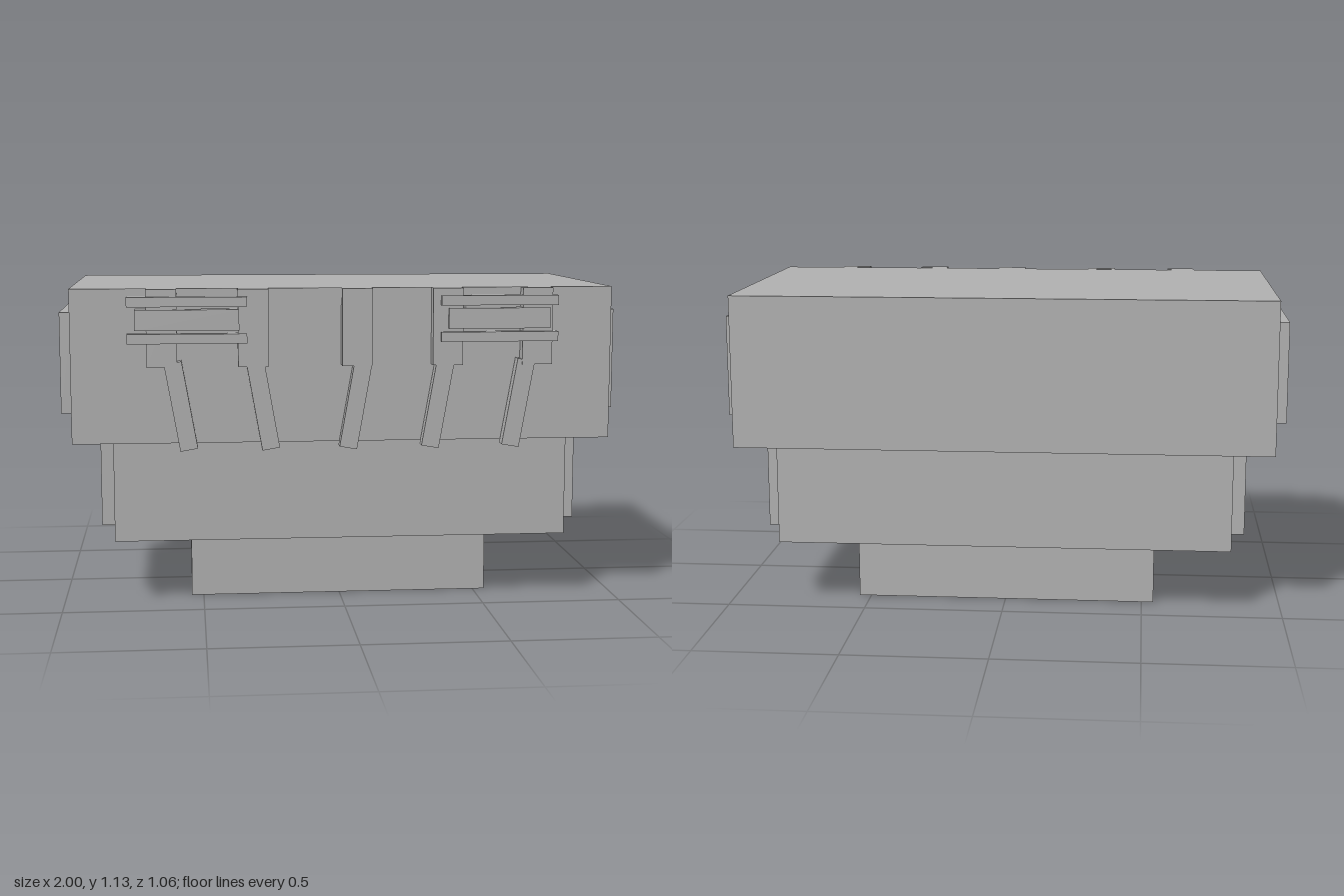
import * as THREE from 'three';

export function createModel() {
  const model = new THREE.Group();
  const grey = new THREE.MeshStandardMaterial({ color: 0xb2b2b2 });
  grey.name = 'plain grey';

  // Box given by its extents along each axis
  function block(name, [x0, x1], [y0, y1], [z0, z1]) {
    const mesh = new THREE.Mesh(new THREE.BoxGeometry(x1 - x0, y1 - y0, z1 - z0), grey);
    mesh.position.set((x0 + x1) / 2, (y0 + y1) / 2, (z0 + z1) / 2);
    mesh.name = name;
    model.add(mesh);
    return mesh;
  }

  // Three stacked body tiers
  block('baseTier', [-0.543, 0.543], [0, 0.23], [-0.348, 0.285]);
  block('middleTier', [-0.815, 0.815], [0.23, 0.593], [-0.463, 0.4]);
  block('upperTier', [-0.955, 0.955], [0.593, 1.135], [-0.53, 0.465]);

  // Raised panels on both sides
  for (const [side, s] of [['left', 1], ['right', -1]]) {
    const span = (a, b) => [Math.min(s * a, s * b), Math.max(s * a, s * b)];
    block(side + 'UpperPanel', span(0.955, 1), [0.685, 1.045], [-0.397, 0.33]);
    block(side + 'LowerPanel', span(0.815, 0.863), [0.277, 0.593], [-0.397, 0.33]);
  }

  // Five front struts: upright block plus a slanted foot
  const struts = [
    [-0.638, -0.574, 1], [-0.321, -0.288, 1],
    [0.042, 0.037, -1], [0.361, 0.327, -1], [0.679, 0.614, -1],
  ];
  const tilt = THREE.MathUtils.degToRad(10);
  for (const [x, footX, lean] of struts) {
    block('strutTop', [x - 0.053, x + 0.053], [0.865, 1.135], [0.47, 0.516]);
    const foot = block('strutFoot', [footX - 0.031, footX + 0.031], [0.573, 0.883], [0.471, 0.515]);
    foot.rotation.z = lean * tilt;
  }

  // Two clamps, each a plate between two crossbars
  for (const x of [-0.55, 0.542]) {
    block('clampPlate', [x - 0.18, x + 0.18], [0.993, 1.065], [0.475, 0.527]);
    for (const y of [0.965, 1.092]) {
      block('clampBar', [x - 0.207, x + 0.207], [y - 0.017, y + 0.017], [0.488, 0.533]);
    }
  }
  return model;
}
